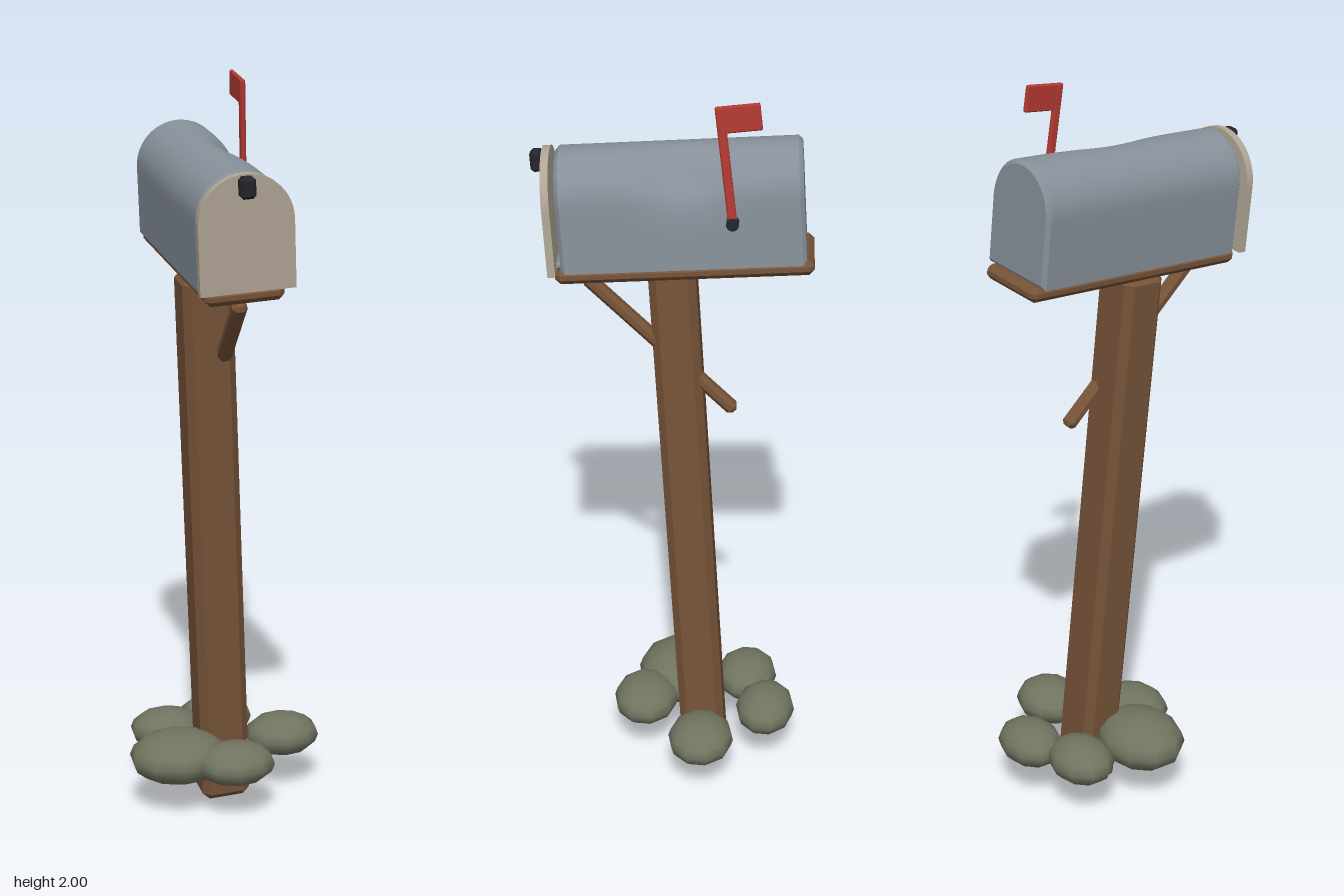
import * as THREE from 'three';
import { toCreasedNormals } from 'three/addons/utils/BufferGeometryUtils.js';
import { ConvexGeometry } from 'three/addons/geometries/ConvexGeometry.js';

const mat = (name, color) => {
  const m = new THREE.MeshStandardMaterial({ color });
  m.name = name;
  return m;
};

// Box with every edge cut at 45 degrees
function chamferBox(w, h, d, c) {
  const pts = [];
  for (const x of [-w / 2, w / 2]) for (const y of [-h / 2, h / 2]) for (const z of [-d / 2, d / 2]) {
    const sx = Math.sign(x) * c, sy = Math.sign(y) * c, sz = Math.sign(z) * c;
    pts.push(new THREE.Vector3(x, y - sy, z - sz), new THREE.Vector3(x - sx, y, z - sz), new THREE.Vector3(x - sx, y - sy, z));
  }
  return new ConvexGeometry(pts);
}

// Straight sides with a half-round top, base on y = 0
function archShape(w, h) {
  const r = w / 2, spring = h - r, pts = [];
  for (let i = 0; i < 8; i++) pts.push(new THREE.Vector2(r, spring * i / 8));
  for (let i = 0; i <= 24; i++) {
    const a = Math.PI * i / 24;
    pts.push(new THREE.Vector2(r * Math.cos(a), spring + r * Math.sin(a)));
  }
  for (let i = 7; i >= 0; i--) pts.push(new THREE.Vector2(-r, spring * i / 8));
  return new THREE.Shape(pts);
}

// Arched shell with a soft dent in the upper left side
function shellGeometry(w, h, length) {
  const b = 0.01;
  const g = new THREE.ExtrudeGeometry(archShape(w, h), {
    depth: length - 2 * b, steps: 28, bevelEnabled: true,
    bevelSize: b, bevelOffset: -b, bevelThickness: b, bevelSegments: 1
  });
  g.translate(0, 0, b - length / 2);
  const p = g.attributes.position;
  for (let i = 0; i < p.count; i++) {
    const x = p.getX(i), y = p.getY(i), z = p.getZ(i);
    const k = 0.03 * Math.exp(-(((z + 0.02) / 0.1) ** 2) - ((x - 0.09) ** 2 + (y - 0.24) ** 2) / 0.0045);
    p.setXY(i, x - 0.8 * k, y - 0.6 * k);
  }
  return toCreasedNormals(g, 0.5);
}

export function createModel() {
  const model = new THREE.Group();
  model.name = 'mailbox';
  const wood = mat('brown wood', 0x765338);
  const metal = mat('grey metal', 0x87909a);
  const cream = mat('cream door', 0xb0a695);
  const red = mat('red flag', 0xb33a32);
  const dark = mat('dark fittings', 0x25262b);
  const stone = mat('mossy stone', 0x70745f);

  const add = (parent, name, geo, material, x, y, z) => {
    const m = new THREE.Mesh(geo, material);
    m.name = name;
    m.position.set(x, y, z);
    parent.add(m);
    return m;
  };

  // Everything but the stones leans and turns together
  const lean = new THREE.Group();
  lean.name = 'leaningAssembly';
  const up = new THREE.Vector3(-0.0458, 0.9965, 0.0698).normalize();
  const right = new THREE.Vector3().crossVectors(up, new THREE.Vector3(0.088, -0.0655, 0.994)).normalize();
  const front = new THREE.Vector3().crossVectors(right, up);
  lean.quaternion.setFromRotationMatrix(new THREE.Matrix4().makeBasis(right, up, front));
  lean.position.set(0, 0, -0.0935);
  model.add(lean);

  // Post, platform and brace
  add(lean, 'post', chamferBox(0.135, 1.515, 0.122, 0.02), wood, 0, 0.01 + 1.515 / 2, 0);
  add(lean, 'platform', chamferBox(0.205, 0.04, 0.654, 0.014), wood, 0.032, 1.535, -0.038);
  const a = new THREE.Vector3(0.035, 1.495, 0.22), b = new THREE.Vector3(0.035, 1.1, -0.14);
  const mid = a.clone().add(b).multiplyScalar(0.5);
  const brace = add(lean, 'brace', chamferBox(0.04, a.distanceTo(b), 0.034, 0.01), wood, mid.x, mid.y, mid.z);
  brace.rotation.x = Math.atan2(a.z - b.z, a.y - b.y);

  // Arched box, door and latch
  add(lean, 'boxShell', shellGeometry(0.232, 0.295, 0.617), metal, 0.033, 1.552, -0.038);
  const door = new THREE.ExtrudeGeometry(archShape(0.246, 0.298), { depth: 0.02, bevelEnabled: false });
  add(lean, 'door', toCreasedNormals(door, 0.5), cream, 0.035, 1.55, 0.283);
  add(lean, 'doorLatch', chamferBox(0.04, 0.054, 0.034, 0.008), dark, 0.035, 1.818, 0.317);
  add(lean, 'doorHinge', chamferBox(0.16, 0.016, 0.03, 0.004), metal, 0.035, 1.562, 0.275);

  // Raised flag on its pivot
  const flag = new THREE.Group();
  flag.name = 'flag';
  flag.position.set(0.162, 1.679, -0.168);
  flag.rotation.x = 0.056;
  lean.add(flag);
  const pivot = add(flag, 'flagPivot', new THREE.CylinderGeometry(0.016, 0.016, 0.034, 12), dark, -0.003, 0, 0);
  pivot.rotation.z = Math.PI / 2;
  add(flag, 'flagPole', chamferBox(0.014, 0.315, 0.023, 0.004), red, 0, 0.1455, 0);
  add(flag, 'flagPlate', chamferBox(0.012, 0.068, 0.11, 0.003), red, 0, 0.269, -0.044);

  // Flattened stones around the foot: x, z, then radii
  const stones = [
    [0.17, -0.1, 0.104, 0.058, 0.09],
    [-0.138, 0, 0.138, 0.072, 0.115],
    [-0.14, -0.195, 0.104, 0.058, 0.085],
    [0.01, -0.263, 0.105, 0.058, 0.082],
    [0.005, 0.075, 0.109, 0.058, 0.09]
  ];
  const ball = new THREE.SphereGeometry(1, 10, 8).rotateY(Math.PI / 10);
  stones.forEach(([x, z, rx, ry, rz], i) => {
    add(model, 'stone' + (i + 1), ball, stone, x, 0.165, z).scale.set(rx, ry, rz);
  });
  return model;
}
